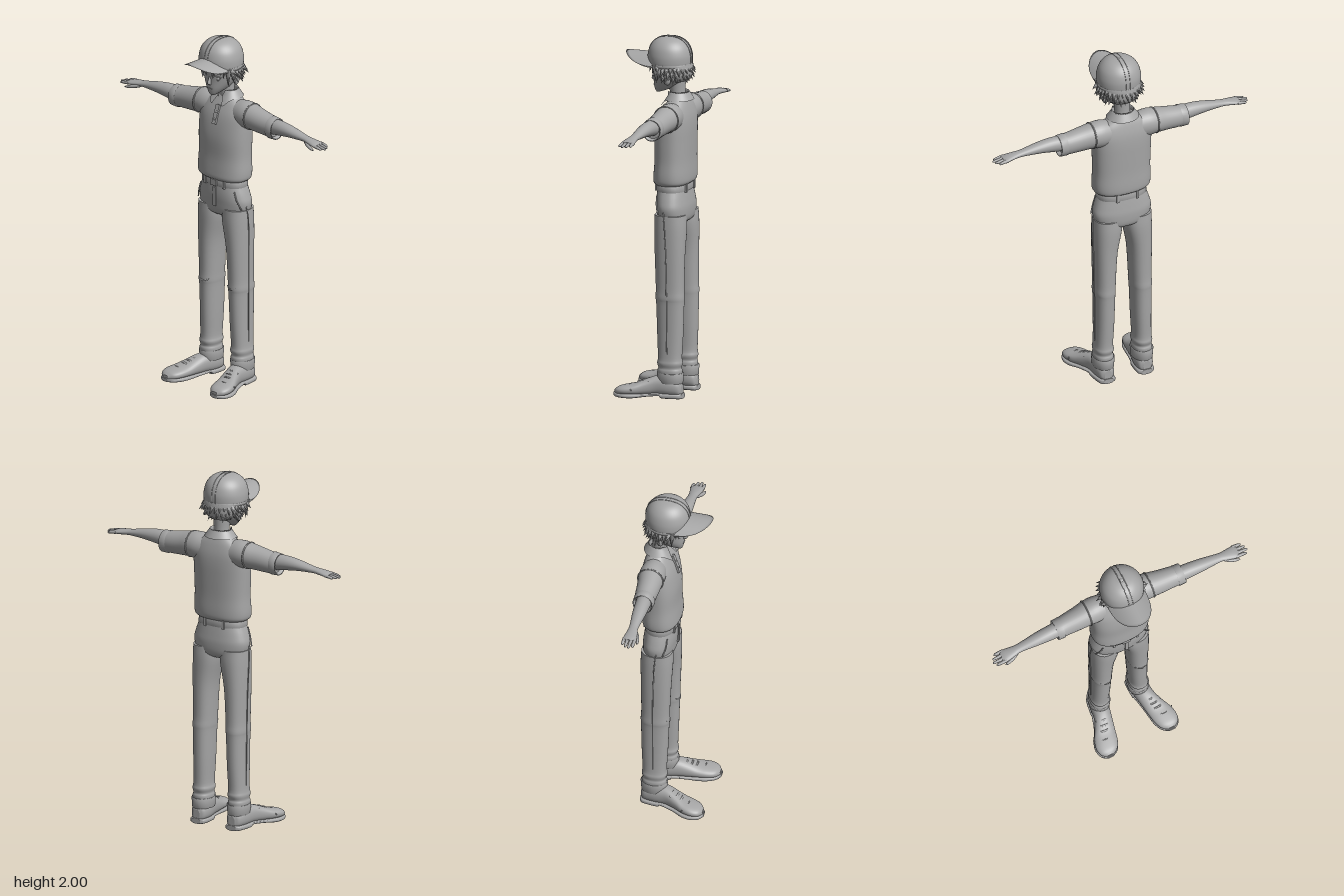
import * as THREE from 'three';

const grey = new THREE.MeshStandardMaterial({ color: 0xa6a6a6 });
grey.name = 'plain grey';
const greyThin = grey;
greyThin.side = THREE.DoubleSide;

// Closed skin through oval sections [w, cu, cv, ru, rv] along an axis.
// Order (u, v, w): y axis = (z, x, y), x axis = (y, z, x), z axis = (x, y, z).
function loft(axis, sections, { power = 2, sub = 4, n = 32 } = {}) {
  const mids = new THREE.CatmullRomCurve3(sections.map(s => new THREE.Vector3(s[0], s[1], s[2])), false, 'catmullrom');
  const radii = new THREE.CatmullRomCurve3(sections.map(s => new THREE.Vector3(s[3], s[4], 0)), false, 'catmullrom');
  const place = { y: (u, v, w) => [v, w, u], x: (u, v, w) => [w, u, v], z: (u, v, w) => [u, v, w] }[axis];
  const rows = (sections.length - 1) * sub, pos = [], idx = [];
  const bend = c => Math.sign(c) * Math.abs(c) ** (2 / power);
  const ring = t => {
    const m = mids.getPoint(t), r = radii.getPoint(t);
    for (let j = 0; j < n; j++) {
      const a = j / n * Math.PI * 2;
      pos.push(...place(m.y + r.x * bend(Math.cos(a)), m.z + r.y * bend(Math.sin(a)), m.x));
    }
    return m;
  };
  for (let i = 0; i <= rows; i++) ring(i / rows);
  for (let i = 0; i < rows; i++) for (let j = 0; j < n; j++) {
    const a = i * n + j, b = i * n + (j + 1) % n;
    idx.push(a, b, a + n, b, b + n, a + n);
  }
  for (const end of [0, 1]) {
    const start = pos.length / 3, m = ring(end);
    pos.push(...place(m.y, m.z, m.x));
    for (let j = 0; j < n; j++) {
      const a = start + j, b = start + (j + 1) % n;
      idx.push(start + n, ...(end ? [a, b] : [b, a]));
    }
  }
  const g = new THREE.BufferGeometry();
  g.setAttribute('position', new THREE.Float32BufferAttribute(pos, 3));
  g.setIndex(idx);
  g.computeVertexNormals();
  return g;
}

// Open sheet from a rule (u, v) -> [x, y, z]
function sheet(rule, nu, nv) {
  const g = new THREE.PlaneGeometry(1, 1, nu, nv), p = g.attributes.position;
  for (let i = 0; i < p.count; i++) p.setXYZ(i, ...rule(p.getX(i) + 0.5, p.getY(i) + 0.5));
  g.computeVertexNormals();
  return g;
}

function mirrorX(geo) {
  const g = geo.clone().scale(-1, 1, 1), k = g.index;
  for (let i = 0; i < k.count; i += 3) {
    const a = k.getX(i);
    k.setX(i, k.getX(i + 1));
    k.setX(i + 1, a);
  }
  g.computeVertexNormals();
  return g;
}

const tube = (pts, r, n = 16) => new THREE.TubeGeometry(
  new THREE.CatmullRomCurve3(pts.map(p => new THREE.Vector3(...p))), n, r, 6);
const ball = (x, y, z, rx, ry, rz) => new THREE.SphereGeometry(1, 16, 12).scale(rx, ry, rz).translate(x, y, z);
const box = (x, y, z, w, h, d, tilt = 0) => new THREE.BoxGeometry(w, h, d).rotateX(tilt).translate(x, y, z);

// Flattened pointed lock of hair from root to tip
function lock(root, tip, r) {
  const a = new THREE.Vector3(...root), d = new THREE.Vector3(...tip).sub(a), len = d.length();
  const q = new THREE.Quaternion().setFromUnitVectors(new THREE.Vector3(0, 1, 0), d.normalize());
  return new THREE.ConeGeometry(r, len, 6).translate(0, len / 2, 0).applyQuaternion(q).translate(...root);
}

export function createModel() {
  const root = new THREE.Group();
  const add = (name, geo) => {
    const m = new THREE.Mesh(geo, grey);
    m.name = name;
    root.add(m);
  };
  const pair = (name, geo) => { add(name + 'Left', geo); add(name + 'Right', mirrorX(geo)); };

  // Shirt
  add('shirtBody', loft('y', [
    [1.185, -.085, 0, .09, .15], [1.2, -.085, 0, .103, .164], [1.24, -.087, 0, .104, .168],
    [1.32, -.089, 0, .1, .165], [1.42, -.09, 0, .1, .168], [1.5, -.095, 0, .095, .17],
    [1.56, -.1, 0, .085, .168], [1.61, -.105, 0, .068, .14], [1.645, -.108, 0, .052, .09],
    [1.67, -.108, 0, .04, .055]], { power: 2.4, n: 48 }));
  pair('sleeve', loft('x', [
    [.08, 1.565, -.105, .075, .065], [.14, 1.57, -.105, .078, .072], [.19, 1.57, -.104, .072, .07],
    [.25, 1.563, -.1, .067, .064], [.32, 1.555, -.098, .062, .058], [.36, 1.551, -.095, .06, .055]]));
  pair('sleeveHem', loft('x', [
    [.345, 1.552, -.095, .055, .05], [.345, 1.552, -.095, .064, .059], [.385, 1.55, -.095, .061, .057],
    [.385, 1.55, -.095, .053, .05], [.365, 1.552, -.095, .05, .047]], { sub: 1 }));
  pair('shoulderSeam', new THREE.TorusGeometry(.072, .004, 6, 32).rotateY(Math.PI / 2).translate(.19, 1.57, -.104));
  add('collar', sheet((u, v) => {
    const a = .16 + u * (Math.PI * 2 - .32), front = Math.max(0, Math.cos(a)) ** 5;
    const k = v < .4 ? v / .4 : (v - .4) / .6;
    const r = v < .4 ? .056 + .002 * k : .058 + .03 * k + .012 * k * front;
    const y = v < .4 ? 1.64 + .055 * k : 1.695 - k * (.045 + .042 * front);
    return [r * Math.sin(a) * 1.05 + Math.sign(Math.sin(a)) * .022 * front * k, y - .025 * front * (1 - k), -.108 + r * .92 * Math.cos(a)];
  }, 48, 10));
  add('placket', box(.004, 1.56, -.011, .026, .11, .012, -.33));
  for (const y of [1.535, 1.575]) add('shirtButton', ball(.004, y, .003 - (y - 1.535) * .37, .006, .006, .004));

  // Arms and hands
  pair('arm', loft('x', [
    [.35, 1.56, -.092, .045, .043], [.42, 1.565, -.089, .041, .041], [.5, 1.565, -.087, .031, .036],
    [.6, 1.557, -.085, .018, .026], [.64, 1.553, -.083, .016, .029], [.69, 1.547, -.082, .014, .037],
    [.715, 1.544, -.082, .009, .034]], { n: 24 }));
  [[-.112, .748], [-.092, .763], [-.072, .77], [-.053, .757]].forEach(([z, tip]) => pair('finger', loft('x', [
    [.695, 1.546, z, .009, .01], [.73, 1.542, z, .008, .009], [tip - .006, 1.538, z, .006, .007],
    [tip, 1.537, z, .002, .002]], { n: 10, sub: 2 })));
  pair('thumb', loft('x', [
    [.62, 1.547, -.072, .01, .012], [.655, 1.538, -.053, .011, .012], [.69, 1.53, -.042, .008, .009],
    [.71, 1.526, -.039, .003, .003]], { n: 12, sub: 3 }));

  // Trousers and belt
  add('hips', loft('y', [
    [.965, -.095, 0, .055, .09], [.99, -.094, 0, .084, .15], [1.05, -.093, 0, .091, .17],
    [1.1, -.089, 0, .09, .16], [1.155, -.086, 0, .085, .14]], { power: 2.3, n: 40 }));
  pair('trouserLeg', loft('y', [
    [.1, -.1, .117, .062, .05], [.15, -.1, .117, .069, .054], [.17, -.1, .117, .064, .05],
    [.195, -.1, .116, .071, .055], [.23, -.1, .116, .067, .05], [.36, -.1, .112, .073, .052],
    [.52, -.099, .11, .078, .055], [.56, -.098, .11, .081, .058], [.62, -.097, .108, .079, .058],
    [.8, -.095, .104, .084, .065], [.94, -.094, .091, .089, .079], [1.02, -.093, .088, .086, .08]], { power: 2.3 }));
  pair('trouserCuff', loft('y', [
    [.085, -.102, .117, .058, .046], [.085, -.102, .117, .072, .058], [.14, -.102, .117, .076, .062],
    [.14, -.102, .117, .06, .05]], { sub: 1 }));
  pair('sideSeam', tube([[.154, 1.1, -.07], [.173, 1.0, -.085], [.171, .8, -.095], [.167, .56, -.098], [.165, .25, -.1]], .003));
  pair('pocketEdge', tube([[.125, 1.13, -.027], [.142, 1.08, -.03], [.162, 1.03, -.045]], .004));
  pair('kneeFold', tube([[.07, .57, -.035], [.105, .56, -.018], [.14, .575, -.03]], .005));
  add('belt', loft('y', [
    [1.148, -.086, 0, .08, .134], [1.148, -.086, 0, .09, .145], [1.188, -.085, 0, .089, .143],
    [1.188, -.085, 0, .08, .13]], { sub: 1, power: 2.3, n: 40 }));
  add('buckle', box(0, 1.167, .004, .045, .036, .012));
  add('fly', box(.004, 1.085, .001, .02, .11, .01));
  for (const s of [-1, 1]) {
    add('beltLoopFront', box(s * .07, 1.167, -.004, .013, .05, .014));
    add('beltLoopBack', box(s * .06, 1.167, -.17, .013, .05, .014));
  }

  // Shoes
  pair('shoe', loft('z', [
    [-.172, .117, .05, .02, .03], [-.155, .117, .058, .043, .046], [-.1, .12, .064, .053, .056],
    [-.03, .13, .066, .05, .054], [.03, .148, .056, .056, .044], [.08, .166, .046, .064, .034],
    [.13, .178, .041, .065, .028], [.17, .183, .036, .05, .022], [.192, .185, .03, .02, .012]], { power: 2.3 }));
  pair('sole', loft('z', [
    [-.176, .117, .015, .028, .015], [-.155, .117, .015, .05, .015], [-.07, .124, .015, .055, .015],
    [-.055, .127, .022, .053, .009], [.02, .147, .017, .056, .01], [.08, .168, .013, .067, .013],
    [.13, .179, .013, .068, .013], [.175, .184, .014, .05, .012], [.197, .186, .016, .02, .01]], { power: 3.5, sub: 3 }));
  for (const [z, x, y] of [[.015, .143, .102], [.042, .152, .094], [.068, .162, .084]])
    pair('shoelace', tube([[x - .04, y - .012, z - .006], [x, y + .002, z], [x + .04, y - .012, z - .012]], .005, 8));
  pair('toeCapSeam', tube([[.12, .05, .09], [.148, .067, .106], [.177, .073, .11], [.208, .066, .103], [.238, .048, .082]], .003));

  // Head and face
  add('neck', loft('y', [[1.6, -.108, 0, .046, .05], [1.68, -.1, 0, .042, .043], [1.77, -.095, 0, .05, .05]]));
  add('head', loft('y', [
    [1.682, .012, 0, .012, .014], [1.695, -.004, 0, .034, .032], [1.725, -.035, 0, .07, .062],
    [1.765, -.055, 0, .09, .088], [1.81, -.06, 0, .098, .102], [1.87, -.06, 0, .105, .108]], { power: 2.1 }));
  add('nose', loft('y', [[1.745, .035, 0, .006, .008], [1.755, .037, 0, .016, .01], [1.79, .033, 0, .008, .006]], { n: 12 }));
  add('mouth', box(0, 1.722, .034, .03, .004, .006));
  for (const s of [-1, 1]) {
    add('eye', ball(s * .042, 1.787, .022, .022, .012, .007));
    add('eyelid', tube([[s * .018, 1.793, .036], [s * .042, 1.802, .031], [s * .068, 1.795, .013]], .003, 8));
    add('ear', ball(s * .095, 1.77, -.075, .014, .03, .02));
  }

  // Hair: a shell under the cap with loose locks around it
  add('hairShell', loft('y', [
    [1.755, -.11, 0, .05, .07], [1.785, -.094, 0, .084, .1], [1.83, -.083, 0, .1, .113], [1.87, -.07, 0, .105, .115]]));
  for (let row = 0; row < 3; row++) for (let i = 0; i < 19; i++) {
    const a = 1.25 + (i + row / 3) / 18.7 * (Math.PI * 2 - 2.5), jig = (i * 7 + row * 5) % 4;
    const at = (r, y) => [r * Math.sin(a), y, -.068 + r * Math.cos(a) * .92];
    const y = 1.84 - row * .022;
    add('hairLock', lock(at(.104 - row * .007, y), at(.136 - row * .013 + jig * .004, y - .028 - jig * .007), .016));
  }
  for (let i = 0; i < 9; i++) {
    const x = (i - 4) * .022, z = .053 - x * x * 5;
    add('fringeLock', lock([x, 1.875, z - .01], [x * 1.05 + (i % 2 ? .012 : -.008), [1.8, 1.815, 1.79][i % 3], z + .002], .015));
  }
  for (const s of [-1, 1]) {
    add('sideLock', lock([s * .1, 1.85, -.005], [s * .096, 1.745, -.012], .02));
    add('sideLock', lock([s * .105, 1.84, -.03], [s * .125, 1.765, -.03], .018));
    add('sideLock', lock([s * .105, 1.84, -.02], [s * .15, 1.815, -.035], .016));
  }

  // Cap
  const crown = [[1.84, .121, .12], [1.865, .124, .123], [1.9, .123, .121], [1.94, .111, .109],
    [1.97, .088, .086], [1.988, .058, .057], [1.996, .022, .022]];
  add('capCrown', loft('y', crown.map(([y, rz, rx]) => [y, -.056, 0, rz, rx]), { n: 48 }));
  add('capButton', ball(0, 1.994, -.056, .012, .006, .012));
  const arc = [...crown.map(([y, r]) => [y, -.056 + r]), ...crown.slice().reverse().map(([y, r]) => [y, -.056 - r])];
  for (const s of [-1, 1]) add('capSeam', tube(arc.map(([y, z]) => [s * .012, y, z]), .002, 48));
  add('capBand', loft('y', [
    [1.836, -.056, 0, .115, .113], [1.836, -.056, 0, .123, .122], [1.852, -.056, 0, .125, .124],
    [1.852, -.056, 0, .118, .116]], { sub: 1, n: 48 }));
  add('capBrim', sheet((u, v) => {
    const s = u * 2 - 1, k = 1 - Math.abs(v * 2 - 1), a = s * 1.3, b = s * Math.PI / 2;
    const x = THREE.MathUtils.lerp(.119 * Math.sin(a), .113 * Math.sin(b), k);
    const z = THREE.MathUtils.lerp(-.056 + .12 * Math.cos(a), .012 + .185 * Math.abs(Math.cos(b)) ** .85, k);
    return [x, 1.9 - .06 * (x / .115) ** 2 - (v > .5 ? .008 * Math.min(1, (1 - k) * 6) : 0), z];
  }, 40, 16));

  return root;
}
